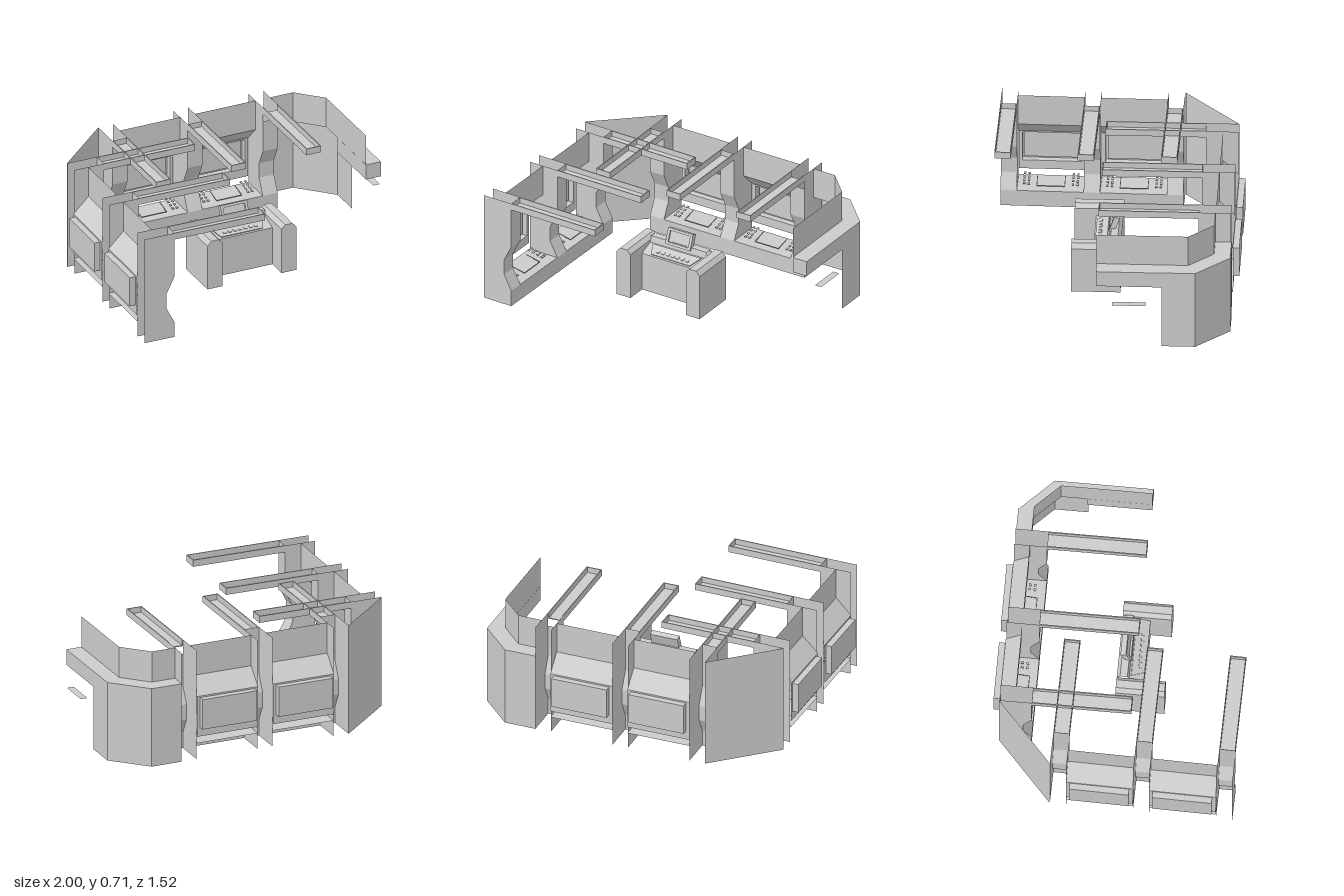
import * as THREE from 'three';

const mat = new THREE.MeshStandardMaterial({ color: 0xcccccc, flatShading: true, side: THREE.DoubleSide });

function add(parent, geo, name, x = 0, y = 0, z = 0) {
  const m = new THREE.Mesh(geo, mat);
  m.name = name;
  m.position.set(x, y, z);
  parent.add(m);
  return m;
}
const box = (parent, name, w, h, d, x, y, z) => add(parent, new THREE.BoxGeometry(w, h, d), name, x, y, z);

// Skin of quads between two rows of points of equal length
function loft(a, b) {
  const v = [];
  for (let i = 0; i < a.length - 1; i++) v.push(...a[i], ...b[i], ...b[i + 1], ...a[i], ...b[i + 1], ...a[i + 1]);
  const g = new THREE.BufferGeometry();
  g.setAttribute('position', new THREE.Float32BufferAttribute(v, 3));
  g.computeVertexNormals();
  return g;
}
// A [z, y] profile swept along x, and an [x, z] path raised in y
const sweep = (p, x0, x1) => loft(p.map(([z, y]) => [x0, y, z]), p.map(([z, y]) => [x1, y, z]));
const wall = (p, y0, y1) => loft(p.map(([x, z]) => [x, y0, z]), p.map(([x, z]) => [x, y1, z]));
const shapeOf = pts => new THREE.Shape(pts.map(p => new THREE.Vector2(...p)));
const rect = (x0, x1, y0, y1) => [[x0, y0], [x1, y0], [x1, y1], [x0, y1]];

// Ribbed pilaster: waisted front, two side fins, and a ceiling channel beam
function pilaster(parent, x, top) {
  const g = new THREE.Group();
  g.name = 'pilaster';
  g.position.x = x;
  parent.add(g);
  const h = 0.05;
  const front = [[0, 0], [0, 0.105], [-0.052, 0.205], [-0.052, 0.305], [0, 0.41]];
  add(g, sweep([...front, [0, top]], -h, h), 'pilasterFront');
  const fin = new THREE.ShapeGeometry(shapeOf([...front, [0, 0.71], [-0.2, 0.71], [-0.2, 0]]));
  fin.rotateY(-Math.PI / 2);
  for (const s of [-h, h]) add(g, fin, 'pilasterFin', s);
  const beam = new THREE.Group();
  beam.name = 'ceilingBeam';
  g.add(beam);
  box(beam, 'beamFloor', 0.1, 0.006, 0.61, 0, 0.67, 0.305);
  for (const s of [-1, 1]) box(beam, 'beamSide', 0.006, 0.043, 0.61, s * 0.047, 0.6885, 0.305);
  box(beam, 'beamEnd', 0.1, 0.043, 0.006, 0, 0.6885, 0.607);
}

// Console bay: leaning wall, recessed screen and a desk with an open slot behind
function consoleBay(parent, x) {
  const g = new THREE.Group();
  g.name = 'consoleBay';
  g.position.x = x;
  parent.add(g);
  const w = 0.204, back = -0.205;
  add(g, sweep([[-0.105, 0.71], [-0.105, 0.51], [back, 0.41]], -w, w), 'upperWall');
  add(g, sweep([[back, 0.105], [0, 0.105], [0, 0]], -w, w), 'desk');

  const hole = rect(-0.182, 0.182, 0.205, 0.4);
  const panel = shapeOf(rect(-w, w, 0.147, 0.41));
  panel.holes.push(shapeOf(hole));
  add(g, new THREE.ShapeGeometry(panel), 'screenSurround', 0, 0, back);
  const ring = [...hole, hole[0]];
  add(g, loft(ring.map(p => [...p, back]), ring.map(p => [...p, -0.244])), 'screenRecess');
  add(g, new THREE.ShapeGeometry(shapeOf(hole)), 'screenBack', 0, 0, -0.244);
  box(g, 'screen', 0.34, 0.172, 0.01, 0, 0.303, -0.238);

  // Gently tilted key clusters and centre tray
  const controls = new THREE.Group();
  controls.name = 'controls';
  controls.position.set(0, 0.127, -0.1025);
  controls.rotation.x = Math.atan2(0.042, 0.205);
  g.add(controls);
  for (const s of [-1, 1]) {
    for (let r = 0; r < 4; r++) {
      for (let c = 0; c < 2; c++) box(controls, 'key', 0.014, 0.004, 0.016, s * (0.135 + c * 0.028), 0, -0.06 + r * 0.032);
    }
    box(controls, 'trayEdge', 0.004, 0.004, 0.1, s * 0.085, 0, 0.005);
  }
  box(controls, 'trayEdge', 0.17, 0.004, 0.004, 0, 0, 0.055);
}

// Run of two bays between three pilasters
function consoleRun(name, lastTop) {
  const g = new THREE.Group();
  g.name = name;
  for (const i of [-1, 0, 1]) pilaster(g, i * 0.508, i === 1 ? lastTop : 0.71);
  for (const s of [-1, 1]) consoleBay(g, s * 0.254);
  return g;
}

function commandDesk() {
  const g = new THREE.Group();
  g.name = 'commandDesk';
  // Hollow side wings with bevelled top edges, closed at front and rear
  for (const s of [-1, 1]) {
    const outline = [[0.3, 0], [0.3, 0.295], [0.275, 0.325], [0.225, 0.325], [0.2, 0.3], [0.2, 0]].map(([x, y]) => [s * x, y]);
    add(g, loft(outline.map(p => [...p, -0.03]), outline.map(p => [...p, 0.27])), 'deskWing');
    for (const z of [-0.03, 0.27]) add(g, new THREE.ShapeGeometry(shapeOf(outline)), 'deskWingEnd', 0, 0, z);
  }
  // Rear bar, control slope and front panel
  add(g, sweep([[-0.03, 0], [-0.03, 0.295], [-0.01, 0.325], [0.035, 0.325], [0.045, 0.285], [0.14, 0.25], [0.14, 0]], -0.2, 0.2), 'deskBody');
  const keys = new THREE.Group();
  keys.name = 'deskControls';
  keys.position.set(0, 0.268, 0.0925);
  keys.rotation.x = Math.atan2(0.035, 0.095);
  g.add(keys);
  const pad = new THREE.ExtrudeGeometry(shapeOf([[-0.14, -0.04], [0.14, -0.04], [0.175, 0.04], [-0.175, 0.04]]),
    { depth: 0.006, bevelEnabled: false });
  add(keys, pad, 'controlPad').rotation.x = -Math.PI / 2;
  for (let i = -3; i <= 3; i++) box(keys, 'key', 0.022, 0.004, 0.02, i * 0.035, 0.008, 0.01);
  // Tilted monitor with raised rim
  const mon = new THREE.Group();
  mon.name = 'monitor';
  mon.position.set(0, 0.35, 0.012);
  mon.rotation.x = -0.35;
  g.add(mon);
  box(mon, 'monitorCase', 0.18, 0.105, 0.025, 0, 0, 0);
  for (const s of [-1, 1]) {
    box(mon, 'monitorRim', 0.018, 0.105, 0.01, s * 0.081, 0, 0.0175);
    box(mon, 'monitorRim', 0.144, 0.016, 0.01, 0, s * 0.0445, 0.0175);
  }
  box(g, 'monitorFoot', 0.1, 0.02, 0.05, 0, 0.315, 0.015);
  return g;
}

// Angled side wall with shelf, set-back upper wall and a header over the opening
function angledWall() {
  const g = new THREE.Group();
  g.name = 'angledWall';
  const outer = [[0.555, -0.72], [0.755, -0.72], [0.958, -0.515], [0.958, 0.09]];
  const inner = [[0.555, -0.62], [0.708, -0.62], [0.858, -0.467], [0.858, 0.09]];
  add(g, wall([...outer.slice(0, 3), [0.958, -0.31]], 0, 0.51), 'lowerWall');
  add(g, wall(inner, 0.51, 0.71), 'upperWall');
  add(g, loft(inner.map(([x, z]) => [x, 0.51, z]), outer.map(([x, z]) => [x, 0.51, z])), 'ledge');
  box(g, 'openingHeader', 0.1, 0.1, 0.4, 0.908, 0.459, -0.11);
  const flap = new THREE.PlaneGeometry(0.045, 0.205).rotateX(-Math.PI / 2);
  add(g, flap, 'sideFlap', 0.9775, 0.3, -0.1125);
  return g;
}

export function createModel() {
  const root = new THREE.Group();
  root.name = 'controlRoom';

  const rear = consoleRun('rearConsoles', 0.615);
  rear.position.set(-0.004, 0, -0.517);
  root.add(rear);

  const side = consoleRun('sideConsoles', 0.71);
  side.position.set(-0.747, 0, 0.19);
  side.rotation.y = Math.PI / 2 - 0.016;
  root.add(side);

  // Diagonal panel closing the corner between the two runs
  add(root, wall([[-0.562, -0.717], [-0.938, -0.374]], 0, 0.71), 'cornerPanel');
  root.add(angledWall(), commandDesk());
  return root;
}
